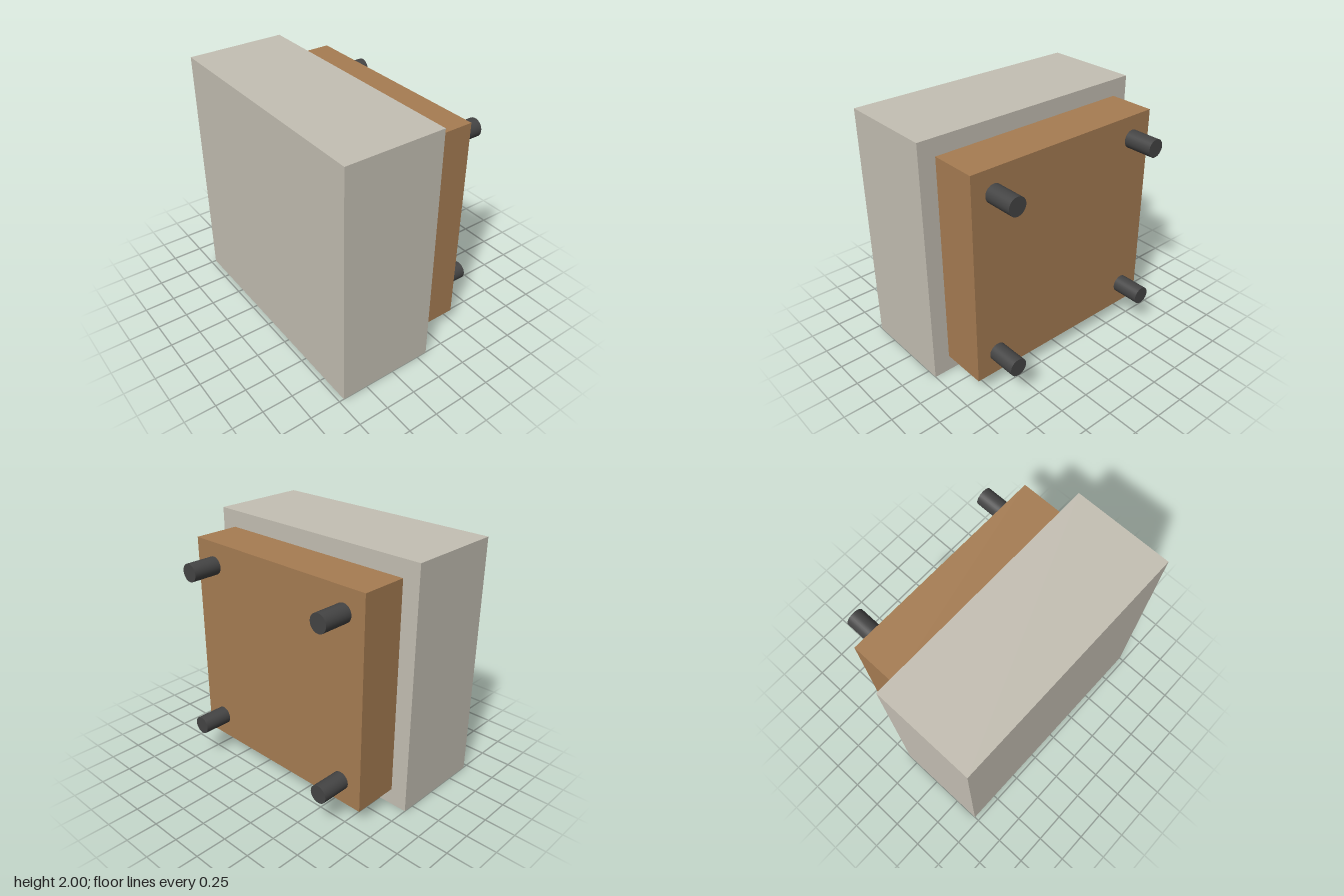
import * as THREE from 'three';

const material = (color) => new THREE.MeshStandardMaterial({ color });

// Square slab centred on y = 1, spanning zBack to zFront
function slab(name, size, zBack, zFront, color) {
  const mesh = new THREE.Mesh(new THREE.BoxGeometry(size, size, zFront - zBack), material(color));
  mesh.name = name;
  mesh.position.set(0, 1, (zBack + zFront) / 2);
  return mesh;
}

export function createModel() {
  const model = new THREE.Group();
  model.name = 'paddedBlock';

  // Thick pad in front, smaller wooden board behind it
  model.add(slab('pad', 2, -0.09, 0.71, 0xc4bfb3));
  model.add(slab('backBoard', 1.725, -0.47, -0.09, 0xa67c52));

  // Four round pegs standing out of the back of the board
  const pegGeometry = new THREE.CylinderGeometry(0.073, 0.073, 0.24, 32).rotateX(Math.PI / 2);
  const pegMaterial = material(0x444444);
  for (const sx of [-1, 1]) {
    for (const sy of [-1, 1]) {
      const peg = new THREE.Mesh(pegGeometry, pegMaterial);
      peg.name = (sy > 0 ? 'upper' : 'lower') + (sx > 0 ? 'Left' : 'Right') + 'Peg';
      peg.position.set(sx * 0.673, 1 + sy * 0.673, -0.59);
      model.add(peg);
    }
  }
  return model;
}
